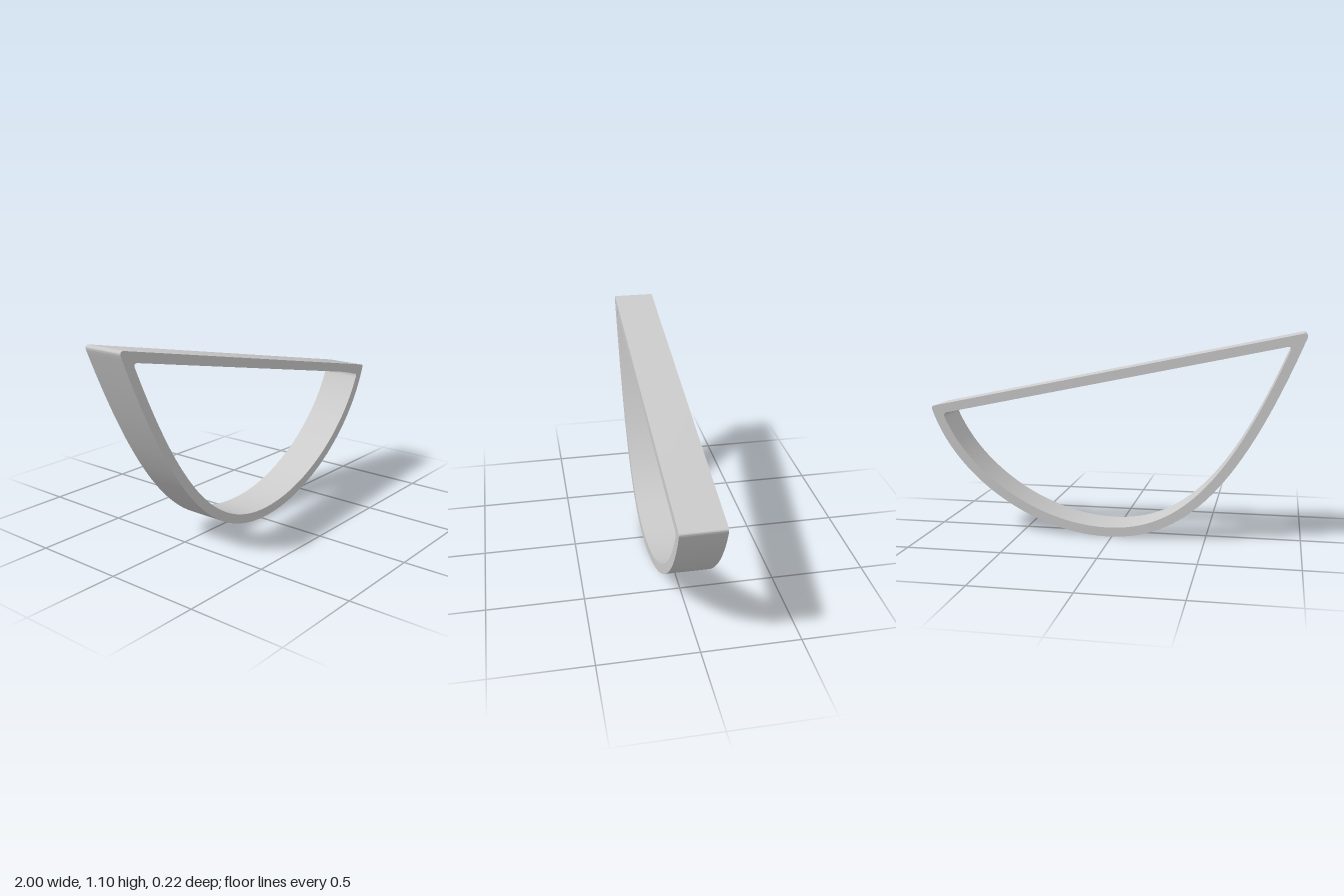
import * as THREE from 'three';
import { toCreasedNormals } from 'three/addons/utils/BufferGeometryUtils.js';

const DEPTH = 0.225, WALL = 0.05, ROUND = 0.017;
const v = (x, y) => new THREE.Vector2(x, y);

// Bowl of the frame: two cubic curves meeting at the lowest point
const bowl = new THREE.CurvePath();
bowl.add(new THREE.CubicBezierCurve(v(-1.008, 1.107), v(-0.7, 0.34), v(-0.42, 0), v(0.02, 0)));
bowl.add(new THREE.CubicBezierCurve(v(0.02, 0), v(0.45, 0), v(0.89, 0.31), v(1.008, 0.686)));

// Straight sloping bar
const SLOPE = -0.2088;
const barY = (x, inset) => 0.8965 + SLOPE * x - inset * Math.hypot(1, SLOPE);

// Closed D-shaped outline, moved inward by inset, with small rounded corners
function outline(inset) {
  const points = [];
  for (let i = 0; i <= 160; i++) {
    const p = bowl.getPoint(i / 160), t = bowl.getTangent(i / 160);
    p.add(v(-t.y, t.x).multiplyScalar(inset));
    if (p.y < barY(p.x, inset) - ROUND) points.push(p);
  }

  // Run the end of the bowl on to the bar, then round the corner there
  const corner = (end, before) => {
    const d = end.clone().sub(before).normalize();
    const run = (barY(end.x, inset) - end.y) / (d.y - SLOPE * d.x);
    const tip = end.clone().addScaledVector(d, run);
    const along = v(1, SLOPE).normalize().multiplyScalar(-Math.sign(tip.x) * run);
    return new THREE.QuadraticBezierCurve(end, tip, tip.clone().add(along)).getPoints(12);
  };
  const right = corner(points.at(-1), points.at(-2));
  const left = corner(points[0], points[1]).reverse();
  return [...points, ...right.slice(1), ...left.slice(0, -1)];
}

export function createModel() {
  const group = new THREE.Group();
  group.name = 'frame';

  const shape = new THREE.Shape(outline(0));
  shape.holes.push(new THREE.Path(outline(WALL)));
  const geometry = new THREE.ExtrudeGeometry(shape, { depth: DEPTH, bevelEnabled: false });
  geometry.translate(0, 0, -DEPTH / 2);

  const band = new THREE.Mesh(
    toCreasedNormals(geometry, 0.7),
    new THREE.MeshStandardMaterial({ color: 0xcccccc })
  );
  band.name = 'bowlAndBarBand';
  group.add(band);
  return group;
}
